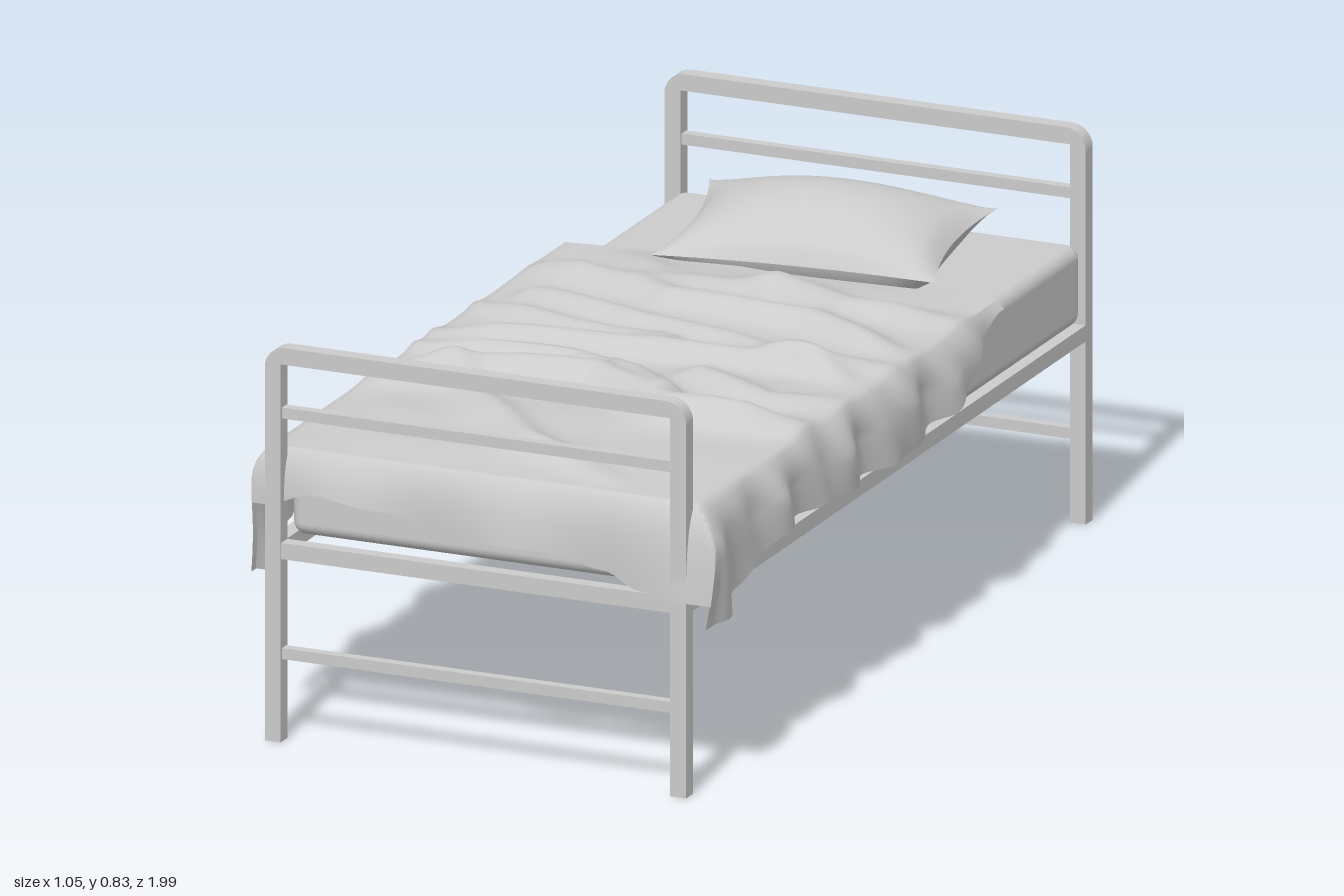
import * as THREE from 'three';
import { RoundedBoxGeometry } from 'three/addons/geometries/RoundedBoxGeometry.js';

const grey = new THREE.MeshStandardMaterial({ color: 0xcccccc });
const cloth = new THREE.MeshStandardMaterial({ color: 0xcccccc, side: THREE.DoubleSide });
const CX = 0.007; // centre line of the bed frame

function add(parent, name, geometry, x, y, z, material = grey) {
  const mesh = new THREE.Mesh(geometry, material);
  mesh.name = name;
  mesh.position.set(x, y, z);
  parent.add(mesh);
  return mesh;
}
const box = (w, h, d) => new THREE.BoxGeometry(w, h, d);

// Smooth surface from a grid of points: fn(i, j) returns [x, y, z]
function gridSurface(cols, rows, fn) {
  const pos = [], index = [];
  for (let j = 0; j <= rows; j++)
    for (let i = 0; i <= cols; i++) pos.push(...fn(i, j));
  for (let j = 0; j < rows; j++)
    for (let i = 0; i < cols; i++) {
      const a = j * (cols + 1) + i, b = a + 1, c = a + cols + 1, d = c + 1;
      index.push(a, c, b, b, c, d);
    }
  const g = new THREE.BufferGeometry();
  g.setAttribute('position', new THREE.Float32BufferAttribute(pos, 3));
  g.setIndex(index);
  g.computeVertexNormals();
  return g;
}

// Smoothly interpolated value from [key, value] pairs in rising key order
function sample(points, k) {
  if (k <= points[0][0]) return points[0][1];
  for (let i = 1; i < points.length; i++) {
    const [k0, v0] = points[i - 1], [k1, v1] = points[i];
    if (k <= k1) return v0 + (v1 - v0) * THREE.MathUtils.smoothstep(k, k0, k1);
  }
  return points[points.length - 1][1];
}

// Bent tube end frame with its rails
function endFrame(name, z) {
  const g = new THREE.Group();
  g.name = name;
  const w = 0.462, t = 0.035, h = 0.83, r = 0.045, iw = w - t;
  const s = new THREE.Shape();
  s.moveTo(-w, 0);
  s.lineTo(-iw, 0);
  s.lineTo(-iw, h - t);
  s.lineTo(iw, h - t);
  s.lineTo(iw, 0);
  s.lineTo(w, 0);
  s.lineTo(w, h - r);
  s.absarc(w - r, h - r, r, 0, Math.PI / 2, false);
  s.lineTo(-w + r, h);
  s.absarc(-w + r, h - r, r, Math.PI / 2, Math.PI, false);
  s.lineTo(-w, 0);
  const hoop = new THREE.ExtrudeGeometry(s, { depth: 0.034, bevelEnabled: false, curveSegments: 8 });
  add(g, 'postsAndTopRail', hoop, 0, 0, -0.017);
  add(g, 'upperRail', box(2 * iw, 0.023, 0.022), 0, 0.691, 0);
  add(g, 'lowerRail', box(2 * iw, 0.023, 0.022), 0, 0.185, 0);
  add(g, 'bedRail', box(2 * iw, 0.034, 0.03), 0, 0.402, 0);
  g.position.set(CX, 0, z);
  return g;
}

// Crumpled folds on top of the blanket: height, width, then [x, z] along the fold
const folds = [
  [0.048, 0.05, [-0.42, 0.45], [-0.2, 0.37], [-0.02, 0.34], [0.2, 0.47], [0.46, 0.43]],
  [0.025, 0.04, [-0.3, 0.43], [-0.15, 0.58], [0.02, 0.76], [0.24, 0.89]],
  [0.032, 0.04, [-0.46, 0.15], [-0.15, 0.13], [0.2, 0.1], [0.48, 0.0]],
  [0.026, 0.035, [-0.38, -0.14], [-0.1, -0.05], [0.12, 0.0], [0.4, 0.1]],
  [0.028, 0.03, [-0.46, 0.24], [-0.12, 0.23], [0.05, 0.29], [0.16, 0.39]],
  [0.03, 0.05, [0.05, -0.38], [0.25, -0.29], [0.48, -0.33]],
  [0.032, 0.045, [-0.42, -0.32], [-0.1, -0.2], [0.2, -0.19], [0.42, -0.1]],
  [0.022, 0.03, [-0.46, -0.05], [-0.25, 0.02], [0.0, 0.06]],
  [0.022, 0.04, [0.15, 0.22], [0.33, 0.3], [0.46, 0.24]],
  [0.02, 0.05, [-0.3, -0.47], [-0.18, -0.3], [0.0, -0.32]],
];
function foldDistance(path, x, z) {
  let best = Infinity;
  for (let i = 1; i < path.length; i++) {
    const [ax, az] = path[i - 1], [bx, bz] = path[i];
    const dx = bx - ax, dz = bz - az;
    const t = THREE.MathUtils.clamp(((x - ax) * dx + (z - az) * dz) / (dx * dx + dz * dz), 0, 1);
    best = Math.min(best, Math.hypot(x - ax - t * dx, z - az - t * dz));
  }
  return best;
}
function topHeight(x, z) {
  let y = 0;
  for (const [h, w, ...path] of folds) y += h * Math.exp(-((foldDistance(path, x, z) / w) ** 2));
  y += 0.004 * Math.sin(13 * x + 9 * z) * Math.sin(17 * z - 5 * x + 1);
  y += 0.012 * (1 - (x / 0.47) ** 2);
  const edge = 1 - 0.65 * THREE.MathUtils.smoothstep(Math.abs(x), 0.33, 0.48);
  const ends = THREE.MathUtils.smoothstep(z, -0.54, -0.38) * (1 - THREE.MathUtils.smoothstep(z, 0.75, 0.95));
  return 0.608 + Math.min(y, 0.075) * edge * ends;
}

// Hem heights along the two sides (by z) and across the foot (by x)
const hemLeft = [[-0.5, 0.59], [-0.4, 0.56], [-0.3, 0.5], [-0.2, 0.46], [0, 0.44], [0.3, 0.45],
  [0.6, 0.46], [0.72, 0.43], [0.8, 0.39], [0.88, 0.36], [0.95, 0.36]];
const hemRight = [[-0.5, 0.47], [-0.42, 0.42], [-0.2, 0.385], [0.0, 0.39], [0.15, 0.38], [0.35, 0.43],
  [0.6, 0.45], [0.78, 0.4], [0.9, 0.33], [0.95, 0.345]];
const hemFoot = [[-0.47, 0.49], [-0.35, 0.525], [-0.2, 0.51], [-0.1, 0.49], [0.02, 0.475], [0.16, 0.475],
  [0.28, 0.45], [0.36, 0.42], [0.47, 0.41]];

function blanketGeometry() {
  const W = 0.47, back = -0.5, foot = 0.945, S = 16, T = 60, R = 96, F = 14;
  return gridSurface(T + 2 * S, R + F, (i, j) => {
    // p, q: how far down the side and the foot the point hangs, 0 to 1
    const p = Math.max(0, S - i, i - S - T) / S, q = Math.max(0, j - R) / F;
    const side = i < S + T / 2 ? -1 : 1;
    const x = -W + (2 * W * THREE.MathUtils.clamp(i - S, 0, T)) / T + CX;
    let z = back + ((foot - back) * Math.min(j, R)) / R;
    z += 0.014 * Math.sin(x * 9 + 1) * (1 - Math.min(j / 12, 1));
    const top = topHeight(x - CX, z);
    const sideDrop = p * (top - sample(side > 0 ? hemLeft : hemRight, z));
    const footDrop = q * (top - sample(hemFoot, x));
    const drop = Math.max(sideDrop, footDrop);
    // folds sway in and out more toward the hem
    const sway = 0.011 * Math.sin(z * 21 + side) + 0.009 * Math.sin(z * 38 + side * 2 + drop * 14);
    const bulge = (d) => 0.046 * (1 - Math.exp(-d / 0.045));
    const outX = p > 0 ? bulge(sideDrop) + sway * Math.min(1, sideDrop / 0.08) - 0.06 * sideDrop : 0;
    const outZ = q > 0 ? bulge(footDrop) * 0.75 + 0.009 * Math.sin(x * 17) * q : 0;
    return [x + side * outX, top - drop, z + outZ];
  });
}

// Plump pillow: four corners, sides drawn in, top and underside meeting at a seam
function pillowGeometry(up) {
  const N = 28;
  const back = [[-0.3, -0.84], [0.305, -0.9]], front = [[-0.255, -0.455], [0.34, -0.52]];
  const mix = THREE.MathUtils.lerp;
  return gridSurface(N, N, (i, j) => {
    const a = i / N, b = j / N, u = 2 * a - 1, v = 2 * b - 1;
    const a2 = 0.5 + (u * (1 - 0.1 * (1 - v * v))) / 2, b2 = 0.5 + (v * (1 - 0.1 * (1 - u * u))) / 2;
    const x = mix(mix(back[0][0], back[1][0], a2), mix(front[0][0], front[1][0], a2), b2);
    const z = mix(mix(back[0][1], back[1][1], a2), mix(front[0][1], front[1][1], a2), b2);
    const seam = mix(0.662, 0.622, b);
    const puff = Math.pow((1 - u * u) * (1 - v * v), 0.65);
    return [x, up ? seam + 0.092 * puff : Math.max(0.588, seam - 0.15 * puff), z];
  });
}

export function createModel() {
  const model = new THREE.Group();
  model.name = 'bed';

  // Metal frame
  model.add(endFrame('footboard', 0.968), endFrame('headboard', -0.983));
  for (const [side, name] of [[1, 'leftSideRail'], [-1, 'rightSideRail']])
    add(model, name, box(0.034, 0.034, 1.92), CX + side * 0.445, 0.402, -0.007);
  add(model, 'crossBar', box(0.86, 0.024, 0.03), CX, 0.402, 0);

  // Bedding
  add(model, 'mattress', new RoundedBoxGeometry(0.885, 0.17, 1.9, 5, 0.028), 0.02, 0.506, -0.014);
  add(model, 'blanket', blanketGeometry(), 0, 0, 0, cloth);
  const pillow = new THREE.Group();
  pillow.name = 'pillow';
  add(pillow, 'pillowTop', pillowGeometry(true), 0, 0, 0, cloth);
  add(pillow, 'pillowUnderside', pillowGeometry(false), 0, 0, 0, cloth);
  model.add(pillow);
  return model;
}
